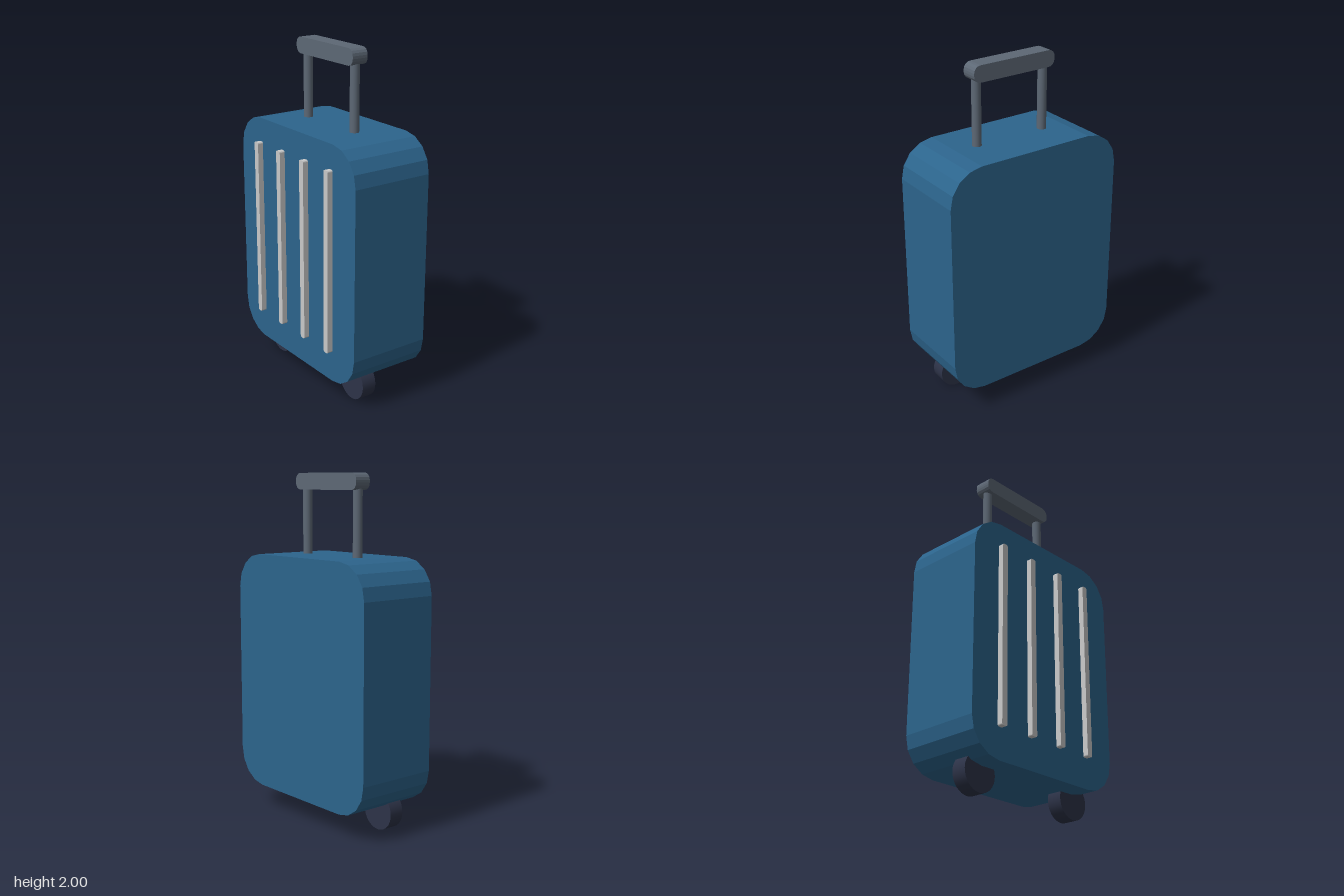
import * as THREE from 'three';

const paint = (name, color) => {
  const m = new THREE.MeshStandardMaterial({ color });
  m.name = name;
  return m;
};

// Rounded rectangle in the x-y plane, extruded from z0 to z1
function roundedSlab(x0, x1, y0, y1, z0, z1, r) {
  const s = new THREE.Shape();
  s.absarc(x1 - r, y0 + r, r, -Math.PI / 2, 0);
  s.absarc(x1 - r, y1 - r, r, 0, Math.PI / 2);
  s.absarc(x0 + r, y1 - r, r, Math.PI / 2, Math.PI);
  s.absarc(x0 + r, y0 + r, r, Math.PI, Math.PI * 1.5);
  s.closePath();
  const g = new THREE.ExtrudeGeometry(s, { depth: z1 - z0, bevelEnabled: false, curveSegments: 2 });
  return g.translate(0, 0, z0);
}

export function createModel() {
  const blue = paint('shell blue', 0x2c648c);
  const grey = paint('handle grey', 0x5d6875);
  const silver = paint('rib silver', 0xcacaca);
  const dark = paint('wheel dark', 0x2d3348);

  const model = new THREE.Group();
  model.name = 'suitcase';
  const add = (name, geometry, material) => {
    const mesh = new THREE.Mesh(geometry, material);
    mesh.name = name;
    model.add(mesh);
    return mesh;
  };

  // Case shell
  add('shell', roundedSlab(-0.557, 0.557, 0.145, 1.535, -0.265, 0.23, 0.2), blue);

  // Raised ribs on the front
  for (let i = 0; i < 4; i++) {
    const x = -0.353 + i * 0.23;
    add('rib', roundedSlab(x - 0.019, x + 0.019, 0.325, 1.395, 0.22, 0.263, 0.01), silver);
  }

  // Telescopic handle
  add('handleGrip', roundedSlab(-0.264, 0.264, 1.905, 2, -0.065, 0.034, 0.04), grey);
  for (const side of [-1, 1]) {
    const pole = add('handlePole', new THREE.CylinderGeometry(0.027, 0.027, 0.42, 16), grey);
    pole.position.set(side * 0.22, 1.71, -0.014);

    // Wheels, tucked into the lower corners
    const wheel = add('wheel', new THREE.CylinderGeometry(0.109, 0.109, 0.09, 32), dark);
    wheel.rotation.x = Math.PI / 2;
    wheel.position.set(side * 0.368, 0.109, 0.059);
  }
  return model;
}
